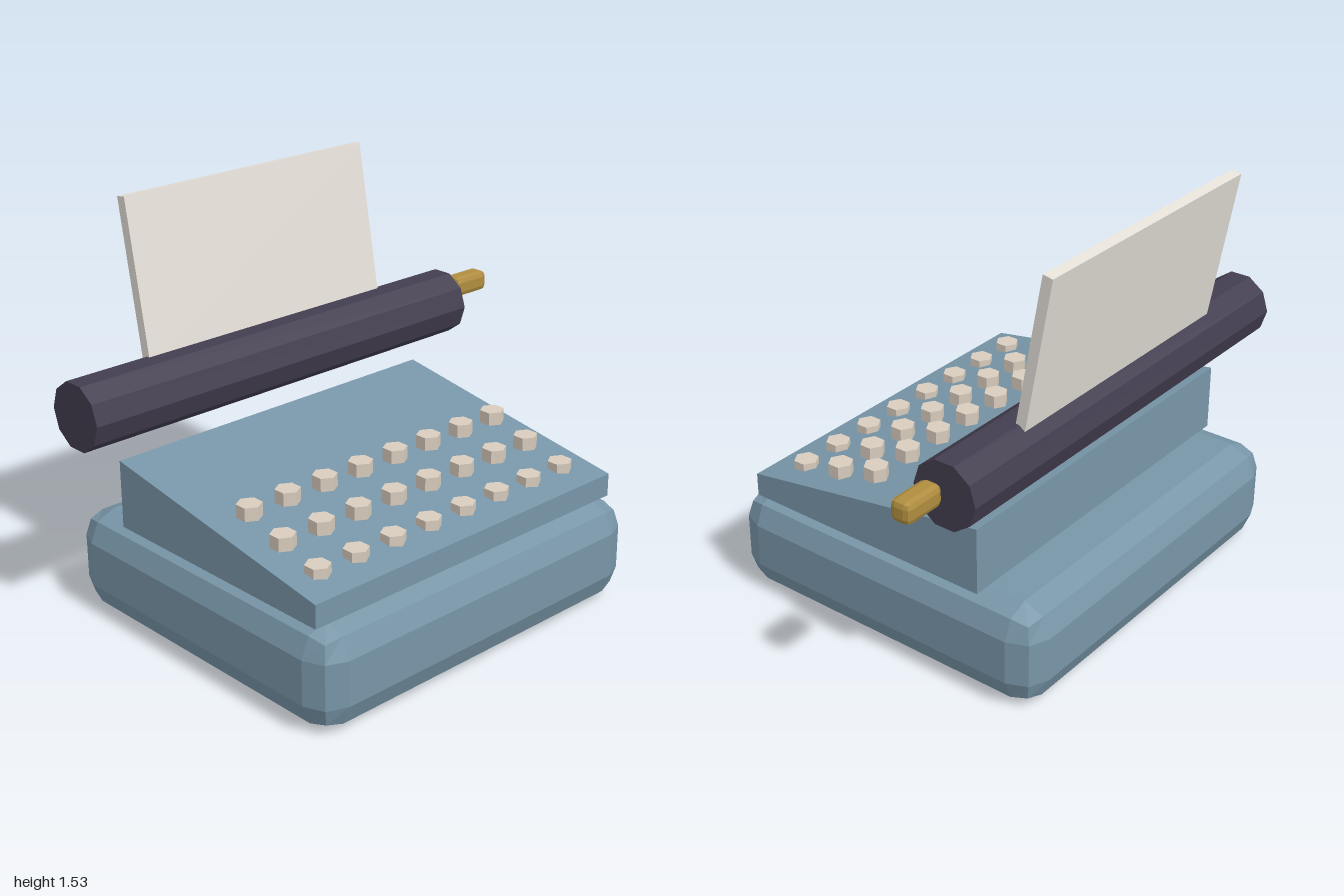
import * as THREE from 'three';
import { RoundedBoxGeometry } from 'three/addons/geometries/RoundedBoxGeometry.js';

const paint = (color) => new THREE.MeshStandardMaterial({ color, flatShading: true });

export function createModel() {
  const model = new THREE.Group();
  const blue = paint(0x7896a8);
  const dark = paint(0x433e50);
  const cream = paint(0xd8cdbe);
  const white = paint(0xe5e0d8);
  const brass = paint(0xb08d3f);
  const midX = -0.108; // body is offset so the knob fits on the left

  const add = (name, geometry, material, x, y, z, parent = model) => {
    const mesh = new THREE.Mesh(geometry, material);
    mesh.name = name;
    mesh.position.set(x, y, z);
    parent.add(mesh);
    return mesh;
  };

  // Chunky bevelled base
  add('base', new RoundedBoxGeometry(1.525, 0.385, 1.36, 1, 0.108), blue, midX, 0.1925, 0);

  // Wedge-shaped key deck: side profile extruded across the width
  const profile = new THREE.Shape([
    new THREE.Vector2(-0.597, 0.384),
    new THREE.Vector2(0.423, 0.384),
    new THREE.Vector2(0.423, 0.64),
    new THREE.Vector2(-0.597, 0.472),
  ]);
  const deckWidth = 1.445;
  const deckGeometry = new THREE.ExtrudeGeometry(profile, { depth: deckWidth, bevelEnabled: false });
  deckGeometry.translate(0, 0, -deckWidth / 2).rotateY(Math.PI / 2);
  add('keyDeck', deckGeometry, blue, midX, 0, 0);

  // Three stepped rows of hexagonal keys
  const keys = new THREE.Group();
  keys.name = 'keys';
  model.add(keys);
  const keyGeometry = new THREE.CylinderGeometry(0.046, 0.046, 0.05, 6);
  for (let row = 0; row < 3; row++) {
    for (let col = 0; col < 8; col++) {
      add('key', keyGeometry, cream, midX + (col - 3.5) * 0.17, 0.5 + row * 0.05, 0.468 - row * 0.17, keys);
    }
  }

  // Ten-sided paper roller
  const roller = add('roller', new THREE.CylinderGeometry(0.127, 0.127, 1.78, 10), dark, -0.11, 0.853, -0.425);
  roller.rotation.z = Math.PI / 2;

  // Brass knob beside the roller
  add('knob', new RoundedBoxGeometry(0.17, 0.082, 0.08, 1, 0.022), brass, 0.915, 0.897, -0.425);

  // Sheet of paper leaning back out of the roller
  const paper = add('paper', new THREE.BoxGeometry(1.105, 0.6, 0.04), white, midX, 1.236, -0.518);
  paper.rotation.x = -0.175;

  return model;
}
